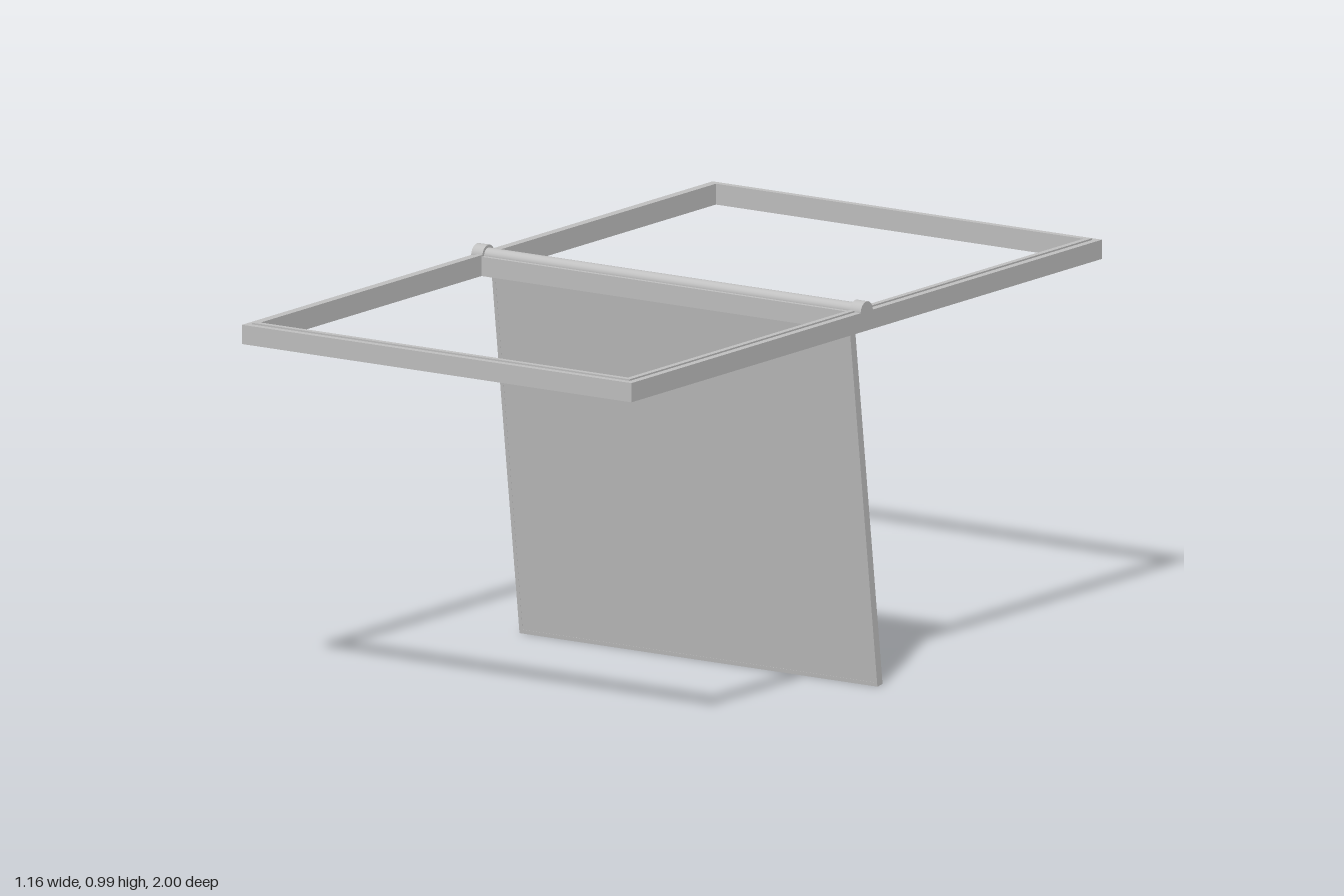
import * as THREE from 'three';

const metal = new THREE.MeshStandardMaterial({ color: 0xc0c0c0 });
metal.name = 'grey metal';

function add(parent, name, geometry, x = 0, y = 0, z = 0) {
  const mesh = new THREE.Mesh(geometry, metal);
  mesh.name = name;
  mesh.position.set(x, y, z);
  parent.add(mesh);
  return mesh;
}

function rectangle(Type, hx, hz) {
  const r = new Type();
  r.moveTo(-hx, -hz);
  r.lineTo(hx, -hz);
  r.lineTo(hx, hz);
  r.lineTo(-hx, hz);
  r.closePath();
  return r;
}

// Flat rectangular ring, extruded along z
function ring(hx, hz, innerX, innerZ, depth) {
  const shape = rectangle(THREE.Shape, hx, hz);
  shape.holes.push(rectangle(THREE.Path, innerX, innerZ));
  return new THREE.ExtrudeGeometry(shape, { depth, bevelEnabled: false });
}

export function createModel() {
  const model = new THREE.Group();
  model.name = 'pivot window';

  // Horizontal outer frame with a low raised lip along its inside
  const frame = ring(0.58, 1, 0.547, 0.967, 0.048).rotateX(-Math.PI / 2);
  add(model, 'outerFrame', frame, 0, 0.915, 0);
  const lip = ring(0.562, 0.982, 0.547, 0.967, 0.005).rotateX(-Math.PI / 2);
  add(model, 'frameLip', lip, 0, 0.962, 0);

  // Cross beam carrying the pivot rod
  add(model, 'crossBeam', new THREE.BoxGeometry(1.1, 0.048, 0.062), 0, 0.939, -0.002);
  const rod = new THREE.CylinderGeometry(0.018, 0.018, 1.1, 24).rotateZ(Math.PI / 2);
  add(model, 'pivotRod', rod, 0, 0.963, 0);

  // Round end bearings
  for (const side of [-1, 1]) {
    const bearing = new THREE.CylinderGeometry(0.026, 0.026, 0.033, 24).rotateZ(Math.PI / 2);
    add(model, side > 0 ? 'leftBearing' : 'rightBearing', bearing, side * 0.5635, 0.962, 0);
  }

  // Hanging panel, tilted backwards around the rod
  const panel = new THREE.Group();
  panel.name = 'hangingPanel';
  panel.position.set(0, 0.96, 0);
  panel.rotation.x = 0.128;
  model.add(panel);
  const top = -0.02, bottom = -0.9665, height = top - bottom, middle = (top + bottom) / 2;
  add(panel, 'panelSheet', new THREE.BoxGeometry(1.06, height - 0.004, 0.021), 0, middle, 0);
  add(panel, 'panelRim', ring(0.533, height / 2, 0.523, height / 2 - 0.01, 0.022), 0, middle, -0.011);

  return model;
}
